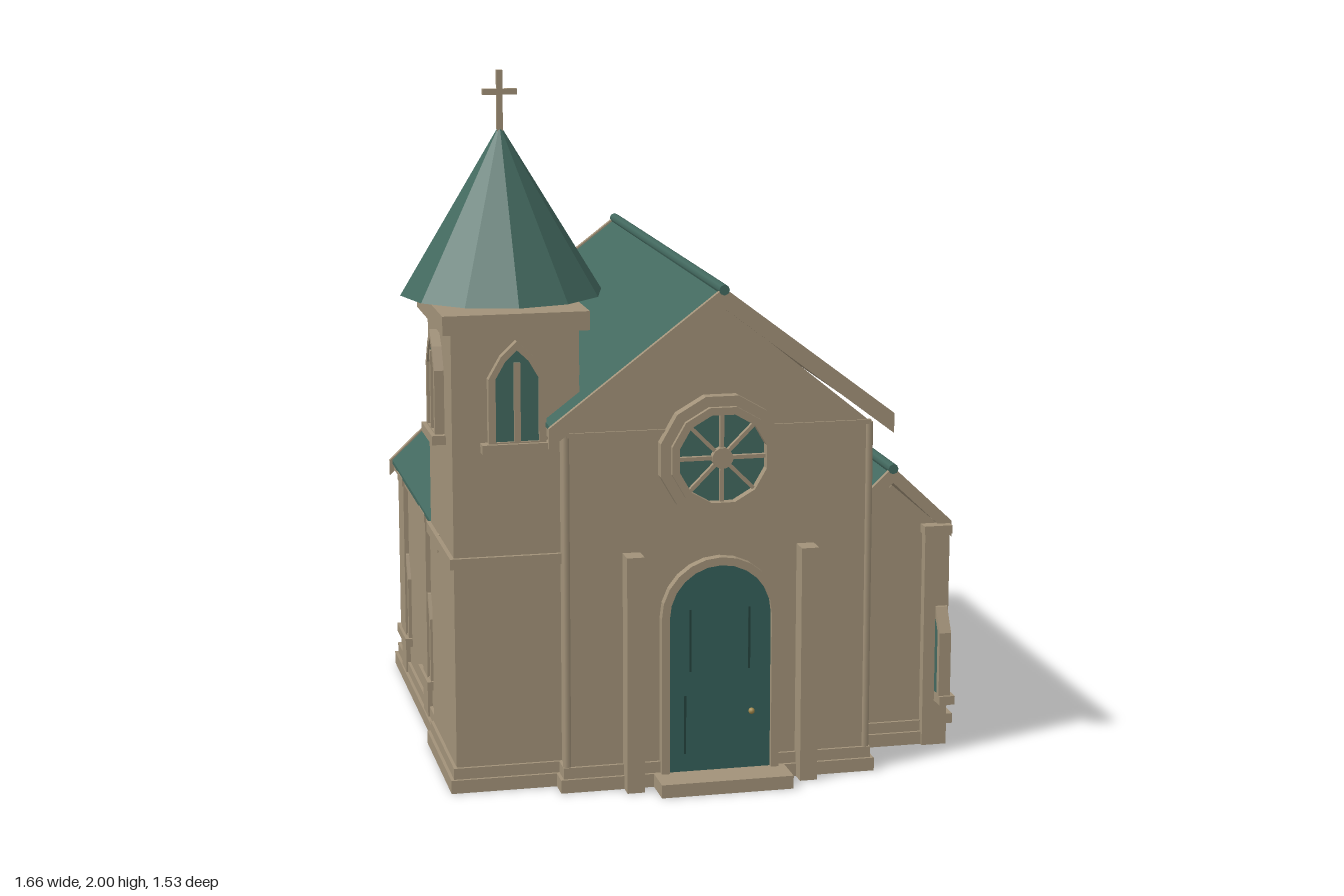
import * as THREE from 'three';

const mat = (name, color) => { const m = new THREE.MeshStandardMaterial({ color }); m.name = name; return m; };

export function createModel() {
  const stone = mat('stone', 0xa29279);
  const slate = mat('roofGreen', 0x43695f);
  const paint = mat('doorGreen', 0x35605a);
  const dark = mat('darkGreen', 0x24423d);
  const brass = mat('brass', 0xa58a4c);
  const root = new THREE.Group();
  const CX = 0.01; // centre line of the nave

  const add = (parent, name, geo, m, x = 0, y = 0, z = 0) => {
    const mesh = new THREE.Mesh(geo, m);
    mesh.name = name;
    mesh.position.set(x, y, z);
    parent.add(mesh);
    return mesh;
  };
  // Box given by its limits on each axis
  const box = (parent, name, m, x0, x1, y0, y1, z0, z1) =>
    add(parent, name, new THREE.BoxGeometry(x1 - x0, y1 - y0, z1 - z0), m, (x0 + x1) / 2, (y0 + y1) / 2, (z0 + z1) / 2);
  const group = (name, x, y, z, ry = 0) => {
    const g = new THREE.Group();
    g.name = name;
    g.position.set(x, y, z);
    g.rotation.y = ry;
    root.add(g);
    return g;
  };
  const poly = pts => new THREE.Shape(pts.map(p => new THREE.Vector2(p[0], p[1])));
  const extrude = (shape, depth) => new THREE.ExtrudeGeometry(shape, { depth, bevelEnabled: false });
  const ringed = (outer, inner) => { const s = poly(outer); s.holes.push(poly(inner)); return s; };
  const flat = geo => { const g = geo.toNonIndexed(); g.computeVertexNormals(); return g; };

  // Outlines
  const lancet = (w, h, y0 = 0) => {
    const k = h - w * 1.3;
    return [[-w, y0], [w, y0], [w, k], [w * 0.55, k + (h - k) * 0.6], [0, h], [-w * 0.55, k + (h - k) * 0.6], [-w, k]];
  };
  const arch = (w, spring, y0 = 0) => {
    const pts = [[-w, y0], [w, y0]];
    for (let i = 0; i <= 12; i++) {
      const a = Math.PI * i / 12;
      pts.push([w * Math.cos(a), spring + w * Math.sin(a)]);
    }
    return pts;
  };
  const ngon = (r, n = 12) => Array.from({ length: n }, (_, i) => {
    const a = (i + 0.5) * 2 * Math.PI / n;
    return [r * Math.cos(a), r * Math.sin(a)];
  });

  // Pointed window facing local +z, sill at local y = 0
  function lancetWindow(name, x, y, z, ry, w, h, depth, sillW) {
    const g = group(name, x, y, z, ry);
    const iw = w - 0.02;
    add(g, 'windowFrame', extrude(ringed(lancet(w, h), lancet(iw, h - 0.025, 0.01)), depth), stone);
    add(g, 'windowPane', extrude(poly(lancet(iw, h - 0.025, 0.01)), depth - 0.008), slate);
    box(g, 'mullion', stone, -0.009, 0.009, 0, h - 0.06, 0, depth);
    box(g, 'windowSill', stone, -sillW, sillW, -0.02, 0.006, 0, depth + 0.012);
  }

  // Arched door facing local +z, standing on its step
  function door(name, x, z, ry, w, iw, spring, y0, stepW, stepD) {
    const g = group(name, x, 0, z, ry);
    add(g, 'doorFrame', extrude(ringed(arch(w, spring, 0), arch(iw, spring, y0)), 0.03), stone);
    add(g, 'doorPanel', extrude(poly(arch(iw, spring, y0)), 0.016), paint);
    box(g, 'doorStep', stone, -stepW, stepW, 0, y0, 0, stepD);
    add(g, 'doorKnob', new THREE.SphereGeometry(0.009, 10, 8), brass, iw * 0.62, spring * 0.42, 0.024);
    return g;
  }

  // Gabled roof: stone underside, slate skin, bargeboards and ridge
  function roof(name, x, ridge, half, drop, z0, z1, thick) {
    const g = group(name, x, 0, 0);
    const chevron = (t, b, w) => {
      const d = drop * w / half;
      return poly([[0, ridge - t], [-w, ridge - t - d], [-w, ridge - b - d], [0, ridge - b], [w, ridge - b - d], [w, ridge - t - d]]);
    };
    add(g, 'roofUnderside', extrude(chevron(0.012, thick, half - 0.005), z1 - z0), stone, 0, 0, z0);
    add(g, 'roofSlates', extrude(chevron(0, 0.012, half), z1 - z0), slate, 0, 0, z0);
    for (const z of [z0 - 0.008, z1 - 0.008])
      add(g, 'bargeboard', extrude(chevron(-0.006, thick + 0.006, half + 0.008), 0.016), stone, 0, 0, z);
    const ridgeCap = add(g, 'ridgeCap', new THREE.CylinderGeometry(0.015, 0.015, z1 - z0 + 0.02, 8), slate, 0, ridge, (z0 + z1) / 2);
    ridgeCap.rotation.x = Math.PI / 2;
  }

  // Stepped plinth around a rectangular wall
  function plinth(x0, x1, z0, z1) {
    box(root, 'plinthLower', stone, x0 - 0.018, x1 + 0.018, 0, 0.038, z0 - 0.018, z1 + 0.018);
    box(root, 'plinthUpper', stone, x0 - 0.009, x1 + 0.009, 0.038, 0.07, z0 - 0.009, z1 + 0.009);
  }

  const house = (half, eave, peak, depth) =>
    extrude(poly([[-half, 0], [half, 0], [half, eave], [0, peak], [-half, eave]]), depth);

  // Nave
  add(root, 'naveWalls', house(0.438, 1.02, 1.375, 1.34), stone, CX, 0, -0.7);
  plinth(CX - 0.438, CX + 0.438, -0.7, 0.64);
  roof('naveRoof', CX, 1.418, 0.482, 0.365, -0.755, 0.685, 0.045);
  for (const z of [0.64, -0.7]) box(root, 'gableBand', stone, CX - 0.438, CX + 0.438, 1.015, 1.027, z - 0.006, z + 0.006);
  for (const s of [-1, 1]) for (const z of [0.635, -0.695])
    add(root, 'cornerShaft', new THREE.CylinderGeometry(0.012, 0.012, 0.95, 8), stone, CX + s * 0.434, 0.545, z);

  // Front door with vertical planks, flanked by pilasters
  const front = door('frontDoor', CX, 0.64, 0, 0.17, 0.147, 0.49, 0.038, 0.19, 0.12);
  for (const [x, y0, y1] of [[-0.085, 0.33, 0.51], [0.085, 0.33, 0.51], [-0.1, 0.09, 0.26]])
    box(front, 'doorGroove', dark, x - 0.003, x + 0.003, y0, y1, 0.014, 0.018);
  for (const s of [-1, 1]) box(root, 'pilaster', stone, CX + s * 0.25 - 0.025, CX + s * 0.25 + 0.025, 0, 0.68, 0.62, 0.7);

  // Round window with rings, spokes and hub
  const rose = group('roseWindow', CX, 0.945, 0.635);
  add(rose, 'outerRing', extrude(ringed(ngon(0.18), ngon(0.15)), 0.04), stone);
  add(rose, 'innerRing', extrude(ringed(ngon(0.15), ngon(0.128)), 0.055), stone);
  add(rose, 'roseGlass', extrude(poly(ngon(0.13)), 0.025), slate);
  for (let i = 0; i < 4; i++)
    add(rose, 'spoke', new THREE.BoxGeometry(0.26, 0.011, 0.02), stone, 0, 0, 0.03).rotation.z = i * Math.PI / 4;
  add(rose, 'hub', extrude(poly(ngon(0.03)), 0.048), stone);

  // Side aisles with buttresses, windows and the upper nave windows
  for (const s of [-1, 1]) {
    const ry = s * Math.PI / 2;
    const zFront = s > 0 ? 0.44 : 0.3;
    const cx = CX + s * 0.565;
    add(root, 'aisleWalls', house(0.155, 0.65, 0.785, zFront + 0.695), stone, cx, 0, -0.695);
    plinth(cx - 0.155, cx + 0.155, -0.695, zFront);
    roof('aisleRoof', cx, 0.835, 0.172, 0.162, -0.71, zFront + 0.005, 0.035);
    const wall = CX + s * 0.72;
    for (const z of s > 0 ? [0.425, -0.05, -0.52] : [-0.05, -0.52]) {
      const b = CX + s * 0.697;
      box(root, 'buttress', stone, b - 0.037, b + 0.037, 0, 0.65, z - 0.045, z + 0.045);
      box(root, 'buttressCap', stone, b - 0.042, b + 0.042, 0.64, 0.665, z - 0.055, z + 0.055);
      lancetWindow('aisleWindow', wall - s * 0.025, 0.155, z, ry, 0.088, 0.31, 0.035, 0.097);
      lancetWindow('upperWindow', CX + s * 0.43, 0.735, z, ry, 0.09, 0.255, 0.032, 0.11);
    }
  }

  // Side door on the left wall of the model
  const side = door('sideDoor', 0.73, 0.158, Math.PI / 2, 0.112, 0.095, 0.335, 0.03, 0.128, 0.095);
  for (const y of [0.06, 0.21, 0.325]) box(side, 'doorGroove', dark, -0.055, 0.055, y - 0.003, y + 0.003, 0.014, 0.018);

  // Tower
  const TX = -0.55, TZ = 0.36, HX = 0.178, HZ = 0.215;
  const slab = (name, e, y0, y1) => box(root, name, stone, TX - HX - e, TX + HX + e, y0, y1, TZ - HZ - e, TZ + HZ + e);
  slab('towerWalls', 0, 0, 1.32);
  slab('towerBand', 0.012, 0.645, 0.675);
  slab('towerCap', 0.026, 1.305, 1.358);
  plinth(TX - HX, TX + HX, TZ - HZ, TZ + HZ);
  for (let i = 0; i < 4; i++) {
    const a = i * Math.PI / 2;
    lancetWindow('towerWindow', TX + Math.sin(a) * (HX - 0.005), 0.992, TZ + Math.cos(a) * (HZ - 0.005), a, 0.08, 0.29, 0.032, 0.1);
  }

  // Spire and cross
  add(root, 'spire', flat(new THREE.ConeGeometry(0.285, 0.47, 12)), slate, TX, 1.615, TZ);
  box(root, 'crossPost', stone, TX - 0.008, TX + 0.008, 1.83, 2.0, TZ - 0.008, TZ + 0.008);
  box(root, 'crossArm', stone, TX - 0.048, TX + 0.048, 1.932, 1.948, TZ - 0.008, TZ + 0.008);

  return root;
}
